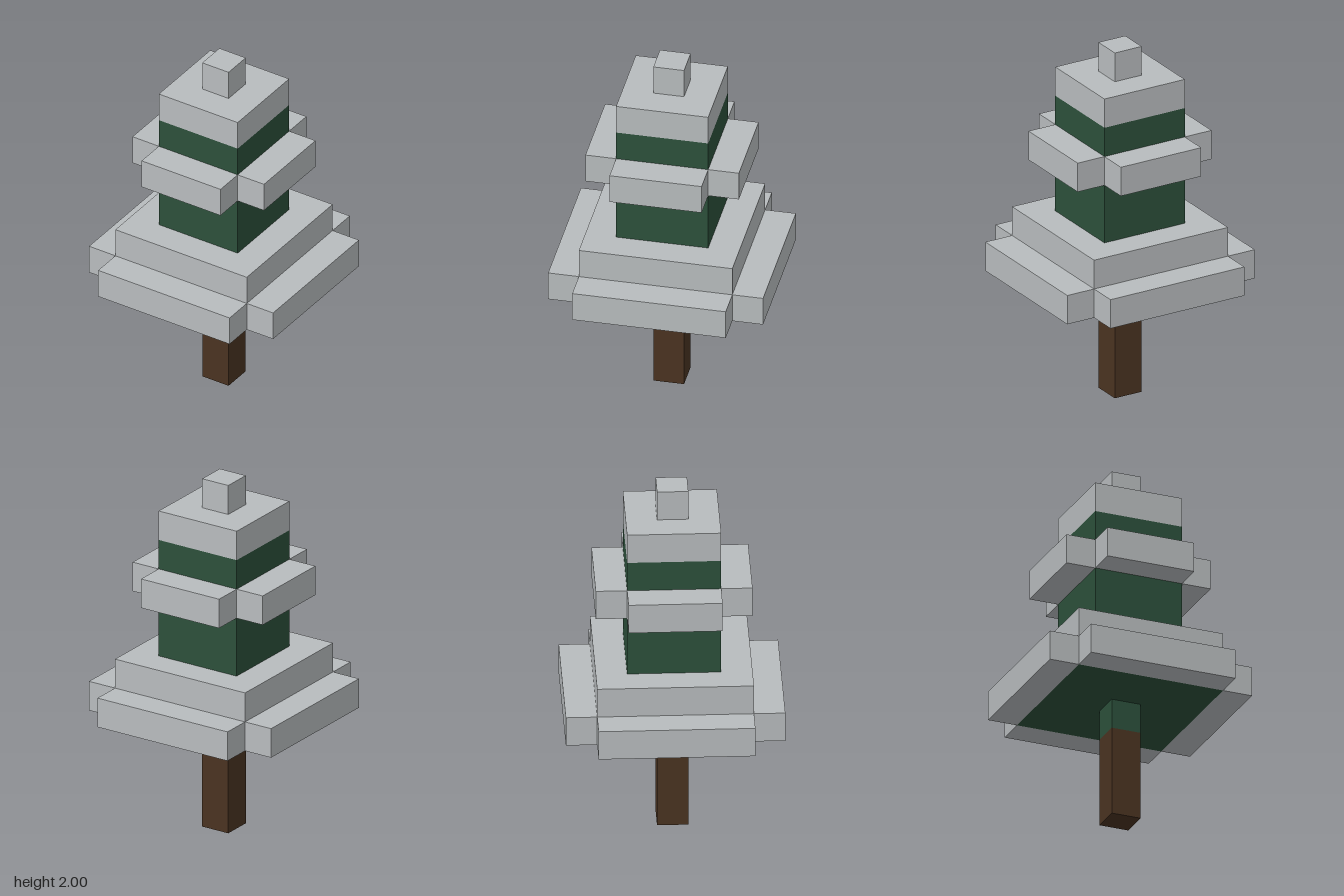
import * as THREE from 'three';

const U = 1 / 6; // one block

export function createModel() {
  const model = new THREE.Group();
  model.name = 'snowyTree';

  const mat = (name, color) => {
    const m = new THREE.MeshStandardMaterial({ color });
    m.name = name;
    return m;
  };
  const bark = mat('bark brown', 0x4a3321);
  const leaf = mat('needle green', 0x2c503b);
  const snow = mat('snow grey', 0xb8bcbe);

  // Box sized in blocks, standing on block height y
  const block = (parent, name, material, w, h, d, y, x = 0, z = 0) => {
    const mesh = new THREE.Mesh(new THREE.BoxGeometry(w * U, h * U, d * U), material);
    mesh.name = name;
    mesh.position.set(x * U, (y + h / 2) * U, z * U);
    parent.add(mesh);
  };

  // Four snowy ledges around a square core of the given width
  const ledgeRing = (name, width, y) => {
    const ring = new THREE.Group();
    ring.name = name;
    const off = (width + 1) / 2;
    for (const s of [-1, 1]) {
      block(ring, s > 0 ? 'leftLedge' : 'rightLedge', snow, 1, 1, width, y, s * off, 0);
      block(ring, s > 0 ? 'frontLedge' : 'backLedge', snow, width, 1, 1, y, 0, s * off);
    }
    model.add(ring);
  };

  // Trunk
  block(model, 'trunk', bark, 1, 3, 1, 0);
  block(model, 'trunkTopNeedles', leaf, 1, 1, 1, 3);

  // Lower tier: green core, snowy ledges and snow cover
  block(model, 'lowerFoliage', leaf, 5, 1, 5, 4);
  ledgeRing('lowerLedges', 5, 4);
  block(model, 'lowerSnow', snow, 5, 1, 5, 5);

  // Upper tier
  block(model, 'upperFoliage', leaf, 3, 4, 3, 6);
  ledgeRing('upperLedges', 3, 8);
  block(model, 'upperSnow', snow, 3, 1, 3, 10);

  // Tip
  block(model, 'snowTip', snow, 1, 1, 1, 11);

  return model;
}
